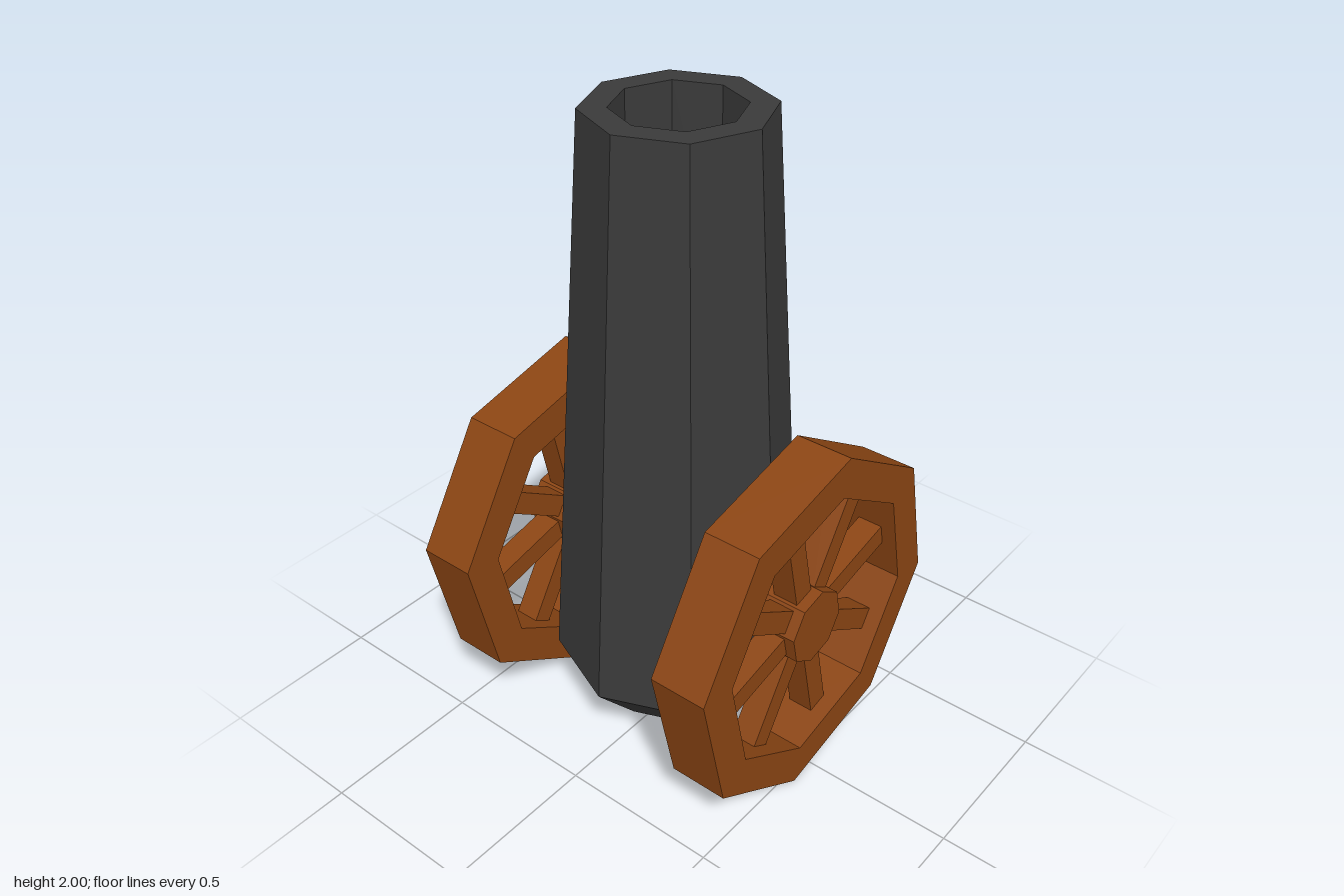
import * as THREE from 'three';

const iron = new THREE.MeshStandardMaterial({ color: 0x3a3a3a, flatShading: true });
const wood = new THREE.MeshStandardMaterial({ color: 0x8b4513, flatShading: true });

const SIDES = 8;
const STEP = (Math.PI * 2) / SIDES;
const TURN = THREE.MathUtils.degToRad(9.65); // wheels are rolled slightly

function octagon(radius) {
  return Array.from({ length: SIDES }, (_, i) => {
    const a = Math.PI / 2 + TURN + i * STEP;
    return new THREE.Vector2(radius * Math.cos(a), radius * Math.sin(a));
  });
}

// Octagonal slab, optionally with an octagonal hole, centred on its own depth
function slab(radius, depth, holeRadius) {
  const shape = new THREE.Shape(octagon(radius));
  if (holeRadius) shape.holes.push(new THREE.Path(octagon(holeRadius)));
  const geo = new THREE.ExtrudeGeometry(shape, { depth, bevelEnabled: false });
  return geo.translate(0, 0, -depth / 2);
}

function add(parent, name, geometry, material) {
  const mesh = new THREE.Mesh(geometry, material);
  mesh.name = name;
  parent.add(mesh);
  return mesh;
}

function makeWheel(name) {
  const wheel = new THREE.Group();
  wheel.name = name;
  add(wheel, 'rim', slab(0.555, 0.18, 0.43), wood);
  add(wheel, 'hub', slab(0.118, 0.15), wood);

  // Spokes run from the hub to the middle of each flat of the rim
  for (let i = 0; i < SIDES; i++) {
    const geo = new THREE.BoxGeometry(0.32, 0.07, 0.08).translate(0.25, 0, 0);
    const spoke = add(wheel, 'spoke', geo, wood);
    spoke.rotation.z = Math.PI / 2 + TURN + (i + 0.5) * STEP;
  }
  wheel.rotation.y = -Math.PI / 2;
  return wheel;
}

export function createModel() {
  const model = new THREE.Group();
  model.name = 'cannon';

  // Upright barrel: chamfered breech, tapering tube, flat muzzle and bore
  const profile = [
    [0, 0.065], [0.225, 0.065], [0.383, 0.245], [0.262, 2],
    [0.183, 2], [0.183, 1.4], [0, 1.4],
  ].map(([r, y]) => new THREE.Vector2(r, y));
  add(model, 'barrel', new THREE.LatheGeometry(profile, SIDES), iron);

  // Pair of wheels
  for (const side of [1, -1]) {
    const wheel = makeWheel(side > 0 ? 'leftWheel' : 'rightWheel');
    wheel.position.set(side * 0.441, 0.55, 0);
    model.add(wheel);
  }
  return model;
}
